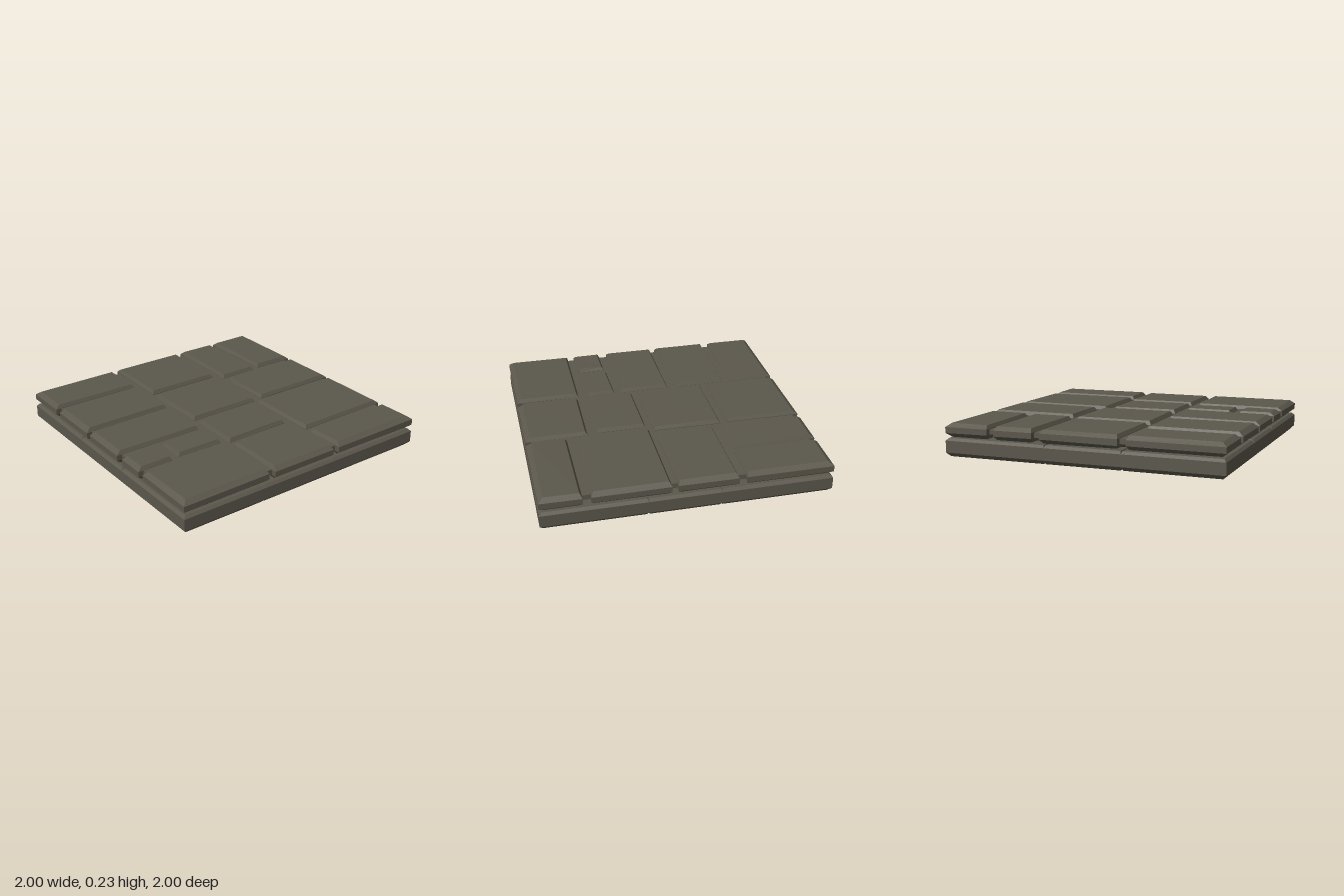
import * as THREE from 'three';

// Small seeded random for slightly uneven stones
let seed = 7;
const rand = () => {
  seed = (seed * 16807) % 2147483647;
  return seed / 2147483647 - 0.5;
};

// Move every edge of a quad inwards by its own distance
function inset(quad, d) {
  const n = quad.map((p, i) => {
    const q = quad[(i + 1) % 4];
    const dx = q[0] - p[0], dz = q[1] - p[1], l = Math.hypot(dx, dz);
    return [dz / l, -dx / l];
  });
  return quad.map((p, i) => {
    const j = (i + 3) % 4;
    const [a, b] = n[j], [c, e] = n[i], det = a * e - b * c;
    return [p[0] + (d[j] * e - b * d[i]) / det, p[1] + (a * d[i] - d[j] * c) / det];
  });
}

// Chamfered block: levels are [y, chamfer scale]; edges give chamfer per side
function blockGeometry(quad, levels, edges, wobble = 0) {
  const loops = levels.map(([y, s]) =>
    inset(quad, edges.map((e) => e * s)).map(([x, z]) => [x, y + rand() * wobble, z]));
  const pos = [];
  const quadFace = (a, b, c, d) => pos.push(...a, ...b, ...c, ...a, ...c, ...d);
  for (let k = 0; k < loops.length - 1; k++) {
    for (let i = 0; i < 4; i++) {
      const j = (i + 1) % 4;
      quadFace(loops[k][i], loops[k][j], loops[k + 1][j], loops[k + 1][i]);
    }
  }
  quadFace(...loops[loops.length - 1]);
  quadFace(...loops[0].slice().reverse());
  const g = new THREE.BufferGeometry();
  g.setAttribute('position', new THREE.Float32BufferAttribute(pos, 3));
  g.computeVertexNormals();
  return g;
}

export function createModel() {
  const root = new THREE.Group();
  root.name = 'stoneFloorTile';
  const stone = new THREE.MeshStandardMaterial({ color: 0x5b574c, flatShading: true });
  stone.name = 'stone';
  const wood = new THREE.MeshStandardMaterial({ color: 0x5e3f2c, flatShading: true });
  wood.name = 'wood';
  const add = (name, geometry, material, parent = root) => {
    const m = new THREE.Mesh(geometry, material);
    m.name = name;
    parent.add(m);
    return m;
  };

  // Paving stones: x0, x1, z0, z1
  const slabs = [
    [-1, -0.33, -1, -0.66], [-1, -0.33, -0.61, -0.21], [-1, -0.33, -0.16, 0.21],
    [-1, -0.73, 0.27, 0.47], [-0.67, -0.33, 0.26, 0.47], [-1, -0.33, 0.53, 1],
    [-0.28, 0.28, -1, -0.46], [-0.285, 0.28, -0.41, 0.085], [-0.28, 0.22, 0.135, 0.5],
    [-0.28, 0.23, 0.555, 1], [0.335, 0.625, -1, -0.385], [0.68, 1, -1, -0.395],
    [0.34, 1, -0.335, 0.08], [0.27, 1, 0.125, 0.66], [0.28, 1, 0.71, 1],
  ];
  const paving = new THREE.Group();
  paving.name = 'paving';
  root.add(paving);
  const slabLevels = [[0.138, 1], [0.166, 0], [0.207, 0], [0.233, 1]];
  for (const [x0, x1, z0, z1] of slabs) {
    const jitter = (v) => (Math.abs(v) === 1 ? v : v + rand() * 0.012);
    const quad = [[x0, z1], [x1, z1], [x1, z0], [x0, z0]].map(([x, z]) => [jitter(x), jitter(z)]);
    const edges = [z1, x1, z0, x0].map((v) => (Math.abs(v) === 1 ? 0.034 : 0.016));
    add('pavingStone', blockGeometry(quad, slabLevels, edges, 0.004), stone, paving);
  }

  // Mortar bed filling the gaps between the stones
  const mortar = add('mortar', new THREE.BoxGeometry(1.92, 0.035, 1.92), stone);
  mortar.position.y = 0.1875;

  // Border of mitred blocks, three on each side
  const w = 0.17;
  const joints = [[-0.36, 0.23], [-0.28, 0.22], [-0.25, 0.3], [-0.3, 0.25]];
  joints.forEach(([a, b], side) => {
    const border = new THREE.Group();
    border.name = 'borderSide';
    border.rotation.y = side * Math.PI / 2;
    root.add(border);
    const cuts = [-1, a, b, 1];
    for (let i = 0; i < 3; i++) {
      const u0 = cuts[i], u1 = cuts[i + 1];
      const first = i === 0, last = i === 2;
      const quad = [[u0, 1], [u1, 1], [last ? u1 - w : u1, 1 - w], [first ? u0 + w : u0, 1 - w]];
      const edges = [0.026, last ? 0 : 0.01, 0.026, first ? 0 : 0.01];
      add('borderBlock', blockGeometry(quad, [[0, 1], [0.028, 0], [0.112, 0], [0.13, 0.7]], edges), stone, border);
    }
  });

  // Wooden joists under the paving
  for (const x of [-0.66, 0, 0.66]) {
    const joist = add('joist', new THREE.BoxGeometry(0.14, 0.12, 1.7), wood);
    joist.position.set(x, 0.08, 0);
  }
  return root;
}
